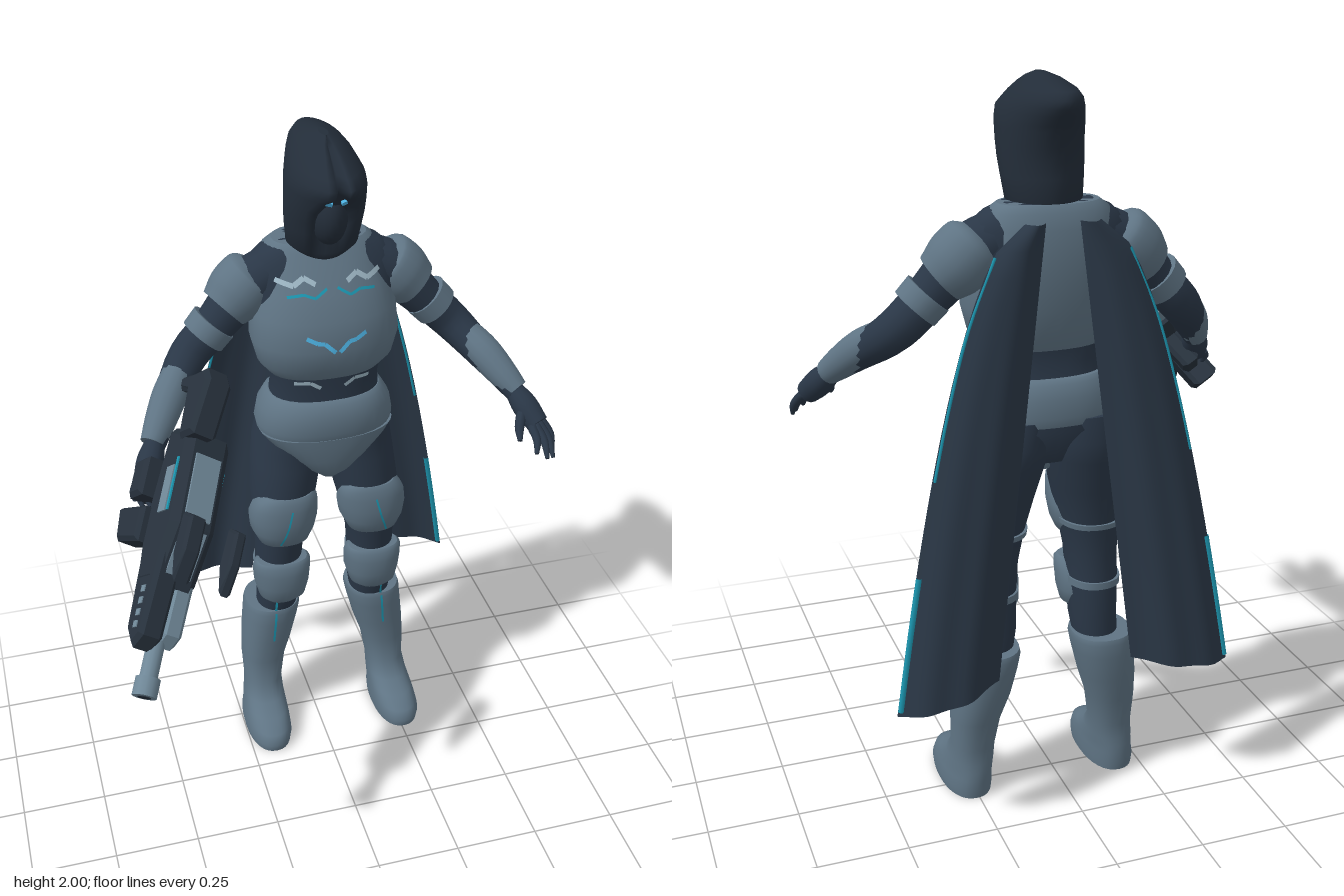
import * as THREE from 'three';

const mat = (name, color, side = THREE.FrontSide) => Object.assign(new THREE.MeshStandardMaterial({ color, side }), { name });
const V = (x, y, z) => new THREE.Vector3(x, y, z);

export function createModel() {
  const armour = mat('armour', 0x5f7484);
  const suit = mat('undersuit', 0x2a3747);
  const hoodMat = mat('hood cloth', 0x232d39);
  const capeMat = mat('cape cloth', 0x2b3847, THREE.DoubleSide);
  const gunDark = mat('gun dark', 0x27313c);
  const gunLight = mat('gun light', 0x6f8797);
  const pale = mat('pale marking', 0x9db6c4, THREE.DoubleSide);
  const teal = mat('teal glow', 0x1c96b0, THREE.DoubleSide);
  const bright = mat('bright glow', 0x4db2e2, THREE.DoubleSide);

  const model = new THREE.Group();
  model.name = 'hoodedFigure';
  const body = new THREE.Group();
  body.name = 'body';
  body.position.x = 0.04;
  model.add(body);

  const add = (parent, name, geo, material, pos = [0, 0, 0]) => {
    const mesh = new THREE.Mesh(geo, material);
    mesh.name = name;
    mesh.position.set(...pos);
    parent.add(mesh);
    return mesh;
  };
  const build = (pos, idx) => {
    const g = new THREE.BufferGeometry();
    g.setAttribute('position', new THREE.Float32BufferAttribute(pos, 3));
    g.setIndex(idx);
    g.computeVertexNormals();
    return g;
  };

  // Closed skin over rings of points, with flat end caps
  const skin = (rings) => {
    const n = rings[0].length, pos = [], idx = [];
    rings.forEach((r) => r.forEach((p) => pos.push(p.x, p.y, p.z)));
    for (let i = 0; i < rings.length - 1; i++) for (let j = 0; j < n; j++) {
      const a = i * n + j, b = i * n + (j + 1) % n;
      idx.push(a, b, b + n, a, b + n, a + n);
    }
    [rings[0], rings[rings.length - 1]].forEach((r, end) => {
      const s = pos.length / 3, c = r.reduce((q, p) => q.add(p), V(0, 0, 0)).divideScalar(n);
      [...r, c].forEach((p) => pos.push(p.x, p.y, p.z));
      for (let j = 0; j < n; j++) {
        const k = (j + 1) % n;
        end ? idx.push(s + j, s + k, s + n) : idx.push(s + k, s + j, s + n);
      }
    });
    return build(pos, idx);
  };

  // Horizontal rings, bottom to top: [y, centre x, half width, front z, back z]
  const loft = (rows, m = 1, e = 2.3, rule = null) => skin(rows.map(([y, cx, rx, zf, zb]) =>
    Array.from({ length: 32 }, (_, j) => {
      const a = j / 32 * Math.PI * 2, s = Math.sin(a), c = Math.cos(a);
      const p = V(cx * m + rx * Math.sign(s) * Math.abs(s) ** (2 / e), y,
        (zf + zb) / 2 + (zf - zb) / 2 * Math.sign(c) * Math.abs(c) ** (2 / e));
      if (rule) rule(p);
      return p;
    })));

  // Round limb along points [x, y, z, radius]
  const limb = (pts, m = 1, seg = 14) => {
    const path = new THREE.CatmullRomCurve3(pts.map((p) => V(p[0] * m, p[1], p[2])));
    const rad = new THREE.CatmullRomCurve3(pts.map((p, i) => V(p[3], i, 0)));
    const n = (pts.length - 1) * 4;
    return skin(Array.from({ length: n + 1 }, (_, i) => {
      const t = path.getTangent(i / n), c = path.getPoint(i / n), r = rad.getPoint(i / n).x;
      const u = V(0, 0, 1).addScaledVector(t, -t.z).normalize(), w = t.clone().cross(u);
      return Array.from({ length: seg }, (_, j) => {
        const a = j / seg * Math.PI * 2;
        return c.clone().addScaledVector(u, r * Math.cos(a)).addScaledVector(w, r * Math.sin(a));
      });
    }));
  };

  // Thin painted stripe laid on the front of a loft
  const stripe = (parent, name, rows, pts, width, material, m = 1, e = 2.3) => {
    const frontZ = (x, y) => {
      let i = 0;
      while (i < rows.length - 2 && rows[i + 1][0] < y) i++;
      const k = THREE.MathUtils.clamp((y - rows[i][0]) / (rows[i + 1][0] - rows[i][0]), 0, 1);
      const [, cx, rx, zf, zb] = rows[i].map((v, q) => v + (rows[i + 1][q] - v) * k);
      const d = Math.min(Math.abs((x - cx) / rx), 1);
      return (zf + zb) / 2 + (zf - zb) / 2 * (1 - d ** e) ** (1 / e) + 0.005;
    };
    const pos = [], idx = [], step = 5;
    for (let i = 0; i < pts.length - 1; i++) {
      const [x0, y0] = pts[i], [x1, y1] = pts[i + 1], l = Math.hypot(x1 - x0, y1 - y0);
      const nx = -(y1 - y0) / l * width / 2, ny = (x1 - x0) / l * width / 2;
      for (let k = 0; k <= step; k++) {
        const x = x0 + (x1 - x0) * k / step, y = y0 + (y1 - y0) * k / step;
        for (const s of [-1, 1]) pos.push((x + s * nx) * m, y + s * ny, frontZ(x + s * nx, y + s * ny));
        const b = pos.length / 3 - 2;
        const q = m > 0 ? [b - 2, b, b + 1, b - 2, b + 1, b - 1] : [b - 2, b + 1, b, b - 2, b - 1, b + 1];
        if (k) idx.push(...q);
      }
    }
    add(parent, name, build(pos, idx), material);
  };

  // Torso
  const torso = [[1.0, 0, 0.12, -0.17, -0.36], [1.1, 0, 0.19, -0.15, -0.415], [1.2, 0, 0.165, -0.15, -0.375],
    [1.27, 0, 0.158, -0.16, -0.355], [1.34, 0, 0.17, -0.15, -0.36], [1.45, 0, 0.19, -0.15, -0.38],
    [1.57, 0, 0.225, -0.18, -0.395], [1.63, 0, 0.215, -0.205, -0.385], [1.67, 0, 0.17, -0.22, -0.375], [1.69, 0, 0.12, -0.23, -0.37]];
  const chest = [[1.31, 0, 0.165, -0.15, -0.365], [1.35, 0, 0.196, -0.12, -0.382], [1.42, 0, 0.214, -0.105, -0.4],
    [1.5, 0, 0.208, -0.122, -0.41], [1.57, 0, 0.19, -0.155, -0.412], [1.63, 0, 0.172, -0.192, -0.405],
    [1.67, 0, 0.162, -0.215, -0.395], [1.69, 0, 0.135, -0.23, -0.38]];
  add(body, 'undersuitTorso', loft(torso), suit);
  add(body, 'chestPlate', loft(chest), armour);
  add(body, 'belt', loft([[1.115, 0, 0.2, -0.125, -0.41], [1.14, 0, 0.205, -0.118, -0.415],
    [1.19, 0, 0.196, -0.118, -0.41], [1.225, 0, 0.176, -0.135, -0.395], [1.235, 0, 0.165, -0.15, -0.38]]), armour);
  add(body, 'hipPlate', loft([[0.955, 0, 0.03, -0.18, -0.29], [0.99, 0, 0.07, -0.145, -0.3],
    [1.04, 0, 0.125, -0.13, -0.31], [1.09, 0, 0.175, -0.124, -0.33], [1.12, 0, 0.2, -0.122, -0.36]]), armour);

  // Hood with a shallow face opening under the brow
  add(body, 'hood', loft([[1.65, 0, 0.07, -0.21, -0.355], [1.69, 0, 0.1, -0.165, -0.376], [1.75, 0, 0.107, -0.14, -0.374],
    [1.79, 0, 0.11, -0.118, -0.376], [1.83, 0, 0.11, -0.093, -0.386], [1.87, 0, 0.108, -0.066, -0.405], [1.885, 0, 0.106, -0.055, -0.415],
    [1.91, 0, 0.1, -0.043, -0.435], [1.93, 0, 0.09, -0.07, -0.45], [1.95, 0, 0.079, -0.1, -0.457], [1.97, 0, 0.062, -0.135, -0.44],
    [1.988, 0, 0.04, -0.18, -0.35], [2.0, 0, 0.012, -0.22, -0.28]], 1, 1.9, (p) => {
    const open = 0.06 * Math.sin(Math.PI * THREE.MathUtils.clamp((p.y - 1.7) / 0.19, 0, 1)) ** 0.5;
    if (p.z > -0.2 && Math.abs(p.x) < open) p.z -= 0.055 * (1 - (p.x / open) ** 4);
  }), hoodMat);
  add(body, 'faceMask', new THREE.SphereGeometry(1, 24, 16), hoodMat, [0, 1.79, -0.215]).scale.set(0.055, 0.09, 0.085);

  for (const m of [1, -1]) {
    const side = m > 0 ? 'left' : 'right';
    const eye = add(body, side + 'Eye', new THREE.BoxGeometry(0.028, 0.011, 0.009), bright, [0.026 * m, 1.855, -0.118]);
    eye.rotation.set(0.4, 0.2 * m, 0.2 * m);
    const dash = add(body, side + 'HoodMarking', new THREE.BoxGeometry(0.022, 0.007, 0.009), pale, [0.066 * m, 1.866, -0.128]);
    dash.rotation.set(0, 0.95 * m, -0.2 * m);

    // Chest and waist markings
    stripe(body, 'collarMarking', chest, [[0.045, 1.6], [0.075, 1.617], [0.105, 1.597], [0.155, 1.61]], 0.013, pale, m);
    stripe(body, 'collarGlow', chest, [[0.015, 1.588], [0.05, 1.567], [0.08, 1.577], [0.125, 1.57]], 0.007, teal, m);
    stripe(body, 'chestGlow', chest, [[0.006, 1.42], [0.035, 1.447], [0.055, 1.45], [0.085, 1.465]], 0.012, bright, m);
    stripe(body, 'waistMarking', torso, [[0.035, 1.28], [0.065, 1.3], [0.11, 1.298]], 0.012, pale, m);

    // Leg
    const leg = new THREE.Group();
    leg.name = side + 'Leg';
    body.add(leg);
    const legRows = [[0.4, 0.16, 0.06, -0.22, -0.35], [0.5, 0.15, 0.066, -0.195, -0.355],
      [0.6, 0.15, 0.07, -0.18, -0.35], [0.7, 0.146, 0.073, -0.17, -0.348], [0.8, 0.138, 0.085, -0.155, -0.36],
      [0.9, 0.128, 0.1, -0.148, -0.382], [1.0, 0.112, 0.106, -0.16, -0.412], [1.06, 0.104, 0.105, -0.16, -0.422],
      [1.13, 0.095, 0.1, -0.16, -0.41]];
    add(leg, 'legSuit', loft(legRows, m, 2.1), suit);
    const knee = [[0.728, 0.14, 0.052, -0.175, -0.26], [0.745, 0.141, 0.078, -0.15, -0.285], [0.785, 0.141, 0.098, -0.135, -0.325],
      [0.83, 0.139, 0.104, -0.13, -0.315], [0.87, 0.136, 0.1, -0.133, -0.285], [0.9, 0.131, 0.09, -0.138, -0.25], [0.915, 0.128, 0.07, -0.148, -0.23]];
    const shin = [[0.505, 0.15, 0.05, -0.18, -0.27], [0.525, 0.148, 0.073, -0.163, -0.29], [0.57, 0.147, 0.085, -0.152, -0.315],
      [0.62, 0.147, 0.089, -0.152, -0.3], [0.65, 0.147, 0.088, -0.158, -0.275], [0.66, 0.147, 0.078, -0.168, -0.26]];
    add(leg, 'kneeGuard', loft(knee, m), armour);
    add(leg, 'shinGuard', loft(shin, m), armour);
    add(leg, 'thighStrap', loft([[0.785, 0.14, 0.09, -0.15, -0.364], [0.8, 0.139, 0.091, -0.15, -0.366]], m), armour);
    add(leg, 'calfStrap', loft([[0.6, 0.15, 0.075, -0.17, -0.355], [0.62, 0.15, 0.075, -0.17, -0.355]], m), armour);
    const boot = [[0, 0.218, 0.07, -0.05, -0.342], [0.025, 0.218, 0.073, -0.045, -0.345], [0.055, 0.216, 0.069, -0.06, -0.346],
      [0.08, 0.214, 0.066, -0.11, -0.345], [0.105, 0.212, 0.063, -0.165, -0.343], [0.15, 0.209, 0.06, -0.208, -0.342],
      [0.24, 0.203, 0.069, -0.212, -0.358], [0.32, 0.188, 0.08, -0.206, -0.38], [0.4, 0.174, 0.086, -0.2, -0.39],
      [0.44, 0.168, 0.088, -0.198, -0.392], [0.455, 0.167, 0.084, -0.203, -0.387]];
    add(leg, 'boot', loft(boot, m), armour);
    stripe(leg, 'kneeGlow', knee, [[0.13, 0.88], [0.145, 0.82], [0.167, 0.755]], 0.006, teal, m);
    stripe(leg, 'shinGlow', legRows, [[0.171, 0.505], [0.173, 0.455]], 0.007, teal, m, 2.1);
    stripe(leg, 'bootGlow', boot, [[0.174, 0.45], [0.183, 0.335]], 0.007, teal, m);

    // Arm and shoulder armour
    const arm = new THREE.Group();
    arm.name = side + 'Arm';
    body.add(arm);
    add(arm, 'armSuit', limb([[0.13, 1.6, -0.295, 0.075], [0.21, 1.56, -0.29, 0.075], [0.305, 1.465, -0.28, 0.06],
      [0.39, 1.38, -0.27, 0.056], [0.47, 1.295, -0.17, 0.045], [0.53, 1.22, -0.08, 0.03]], m), suit);
    add(arm, 'shoulderPad', limb([[0.18, 1.6, -0.3, 0.06], [0.197, 1.585, -0.3, 0.085], [0.24, 1.542, -0.295, 0.088],
      [0.28, 1.505, -0.285, 0.072]], m, 20), armour);
    add(arm, 'upperArmBand', limb([[0.31, 1.468, -0.28, 0.068], [0.345, 1.43, -0.276, 0.066]], m, 18), armour);
    add(arm, 'forearmGuard', limb([[0.425, 1.35, -0.235, 0.046], [0.465, 1.31, -0.18, 0.05], [0.505, 1.262, -0.125, 0.044],
      [0.535, 1.225, -0.085, 0.035]], m), armour);
    // Hand; the gun hand has curled, shorter fingers
    const curl = m > 0 ? 1 : 0.6;
    add(arm, 'palm', limb([[0.525, 1.23, -0.09, 0.027], [0.55, 1.19, -0.05, 0.038], [0.575, 1.15, -0.005, 0.033]], m), suit);
    [[0.615, 1.08, 0.03], [0.6, 1.075, 0.07], [0.575, 1.085, 0.085], [0.545, 1.1, 0.075]].forEach(([x, y, z], i) => {
      const b = [0.592 - i * 0.013, 1.15, -0.02 + i * 0.008], k = [x - b[0], y - b[1], z - b[2]];
      add(arm, 'finger', limb([[...b, 0.014], [b[0] + k[0] * 0.55 * curl + 0.008, b[1] + k[1] * 0.5 * curl, b[2] + k[2] * 0.55 * curl, 0.012],
        [b[0] + k[0] * curl, b[1] + k[1] * curl, b[2] + k[2] * curl, 0.006]], m, 8), suit);
    });
    add(arm, 'thumb', limb([[0.54, 1.19, -0.04, 0.015], [0.515, 1.155, 0.005, 0.014], [0.505, 1.13, 0.04, 0.007]], m, 8), suit);

    // Cape panel, narrow at the shoulder and flared at the hem
    const capePoint = (u, v) => {
      const inner = 0.045 + 0.145 * v, outer = 0.1 + 0.375 * v ** 0.54;
      return V((inner + (outer - inner) * u) * m, 1.655 - (1.215 + 0.045 * u) * v,
        -0.415 - 0.05 * v - 0.02 * u * v - (0.025 + 0.03 * v) * Math.sin(Math.PI * u) + 0.006 * v * Math.sin(u * 14));
    };
    const cape = new THREE.PlaneGeometry(1, 1, 16, 20), cp = cape.attributes.position;
    for (let i = 0; i < cp.count; i++) cp.setXYZ(i, ...capePoint(cp.getX(i) + 0.5, 0.5 - cp.getY(i)));
    cape.computeVertexNormals();
    add(body, side + 'CapePanel', cape, capeMat);
    for (const [a, b, r] of [[0.06, 0.5, 0.004], [0.7, 0.99, 0.008]]) {
      const edge = new THREE.CatmullRomCurve3([0, 0.33, 0.67, 1].map((k) => capePoint(0.975, a + (b - a) * k)));
      add(body, side + 'CapeTrim', new THREE.TubeGeometry(edge, 16, r, 6), teal);
    }
  }

  // Rifle: local z runs to the muzzle, y is its top
  const gun = new THREE.Group();
  gun.name = 'rifle';
  const f = V(-0.38, -0.57, 0.72).normalize(), s = V(0.4, 0.62, 0.65).cross(f).normalize();
  gun.quaternion.setFromRotationMatrix(new THREE.Matrix4().makeBasis(s, f.clone().cross(s), f));
  gun.position.set(-0.46, 1.14, 0.14);
  model.add(gun);
  // Bevelled plate from a side profile of [z, y] points
  const plate = (name, pts, width, material, x = 0, bevel = 0.012) => {
    const g = new THREE.ExtrudeGeometry(new THREE.Shape(pts.map((p) => new THREE.Vector2(...p))),
      { depth: width - 2 * bevel, bevelSize: bevel, bevelThickness: bevel, bevelOffset: -bevel, bevelSegments: 1 });
    g.translate(0, 0, bevel - width / 2).rotateY(-Math.PI / 2);
    add(gun, name, g, material, [x, 0, 0]);
  };
  const block = (name, size, material, pos) => add(gun, name, new THREE.BoxGeometry(...size), material, pos);
  plate('receiver', [[-0.24, -0.05], [0.05, -0.085], [0.22, -0.05], [0.22, 0.045], [0.06, 0.095], [-0.2, 0.08]], 0.135, gunDark, 0, 0.022);
  plate('handguard', [[0.12, -0.06], [0.34, -0.045], [0.39, 0], [0.36, 0.045], [0.12, 0.065]], 0.07, gunDark, -0.03);
  plate('lightHandguard', [[0.12, -0.075], [0.33, -0.055], [0.37, 0], [0.34, 0.038], [0.12, 0.05]], 0.06, gunLight, 0.032);
  plate('stock', [[-0.37, 0.02], [-0.18, 0.035], [-0.18, 0.11], [-0.33, 0.14], [-0.37, 0.11]], 0.08, gunDark, -0.04);
  plate('stockButt', [[-0.38, -0.03], [-0.34, -0.03], [-0.31, 0.06], [-0.37, 0.06]], 0.075, gunDark, -0.04);
  plate('stockCore', [[-0.3, -0.03], [-0.2, -0.04], [-0.2, 0.04], [-0.3, 0.04]], 0.05, gunLight, -0.02);
  plate('grip', [[-0.17, -0.17], [-0.1, -0.17], [-0.07, -0.04], [-0.14, -0.04]], 0.055, gunDark, -0.025);
  plate('magazine', [[-0.02, -0.2], [0.08, -0.18], [0.1, -0.05], [0, -0.05]], 0.08, gunDark, -0.055);
  plate('sideBox', [[-0.14, -0.13], [-0.03, -0.13], [-0.03, -0.06], [-0.14, -0.06]], 0.1, gunDark, -0.06);
  block('topPanel', [0.075, 0.009, 0.18], gunLight, [0, 0.091, -0.05]).rotation.x = -0.06;
  block('slopePanel', [0.075, 0.009, 0.13], gunLight, [0, 0.073, 0.13]).rotation.x = 0.3;
  block('topSlot', [0.028, 0.009, 0.05], gunDark, [-0.01, 0.077, 0.13]).rotation.x = 0.3;
  for (const x of [-0.069, 0.069]) {
    block('sidePanel', [0.006, 0.04, 0.13], gunLight, [x, 0.02, -0.04]);
    block('sideGlow', [0.006, 0.008, 0.15], teal, [x, 0.052, -0.05]);
  }
  for (let i = 0; i < 4; i++) block('vent', [0.008, 0.02, 0.018], gunLight, [-0.064, 0.01, 0.235 + i * 0.032]);
  const tube = (name, r, z, len, material) => add(gun, name, new THREE.CylinderGeometry(r, r, len, 12).rotateX(Math.PI / 2), material, [0.01, -0.005, z]);
  tube('barrel', 0.024, 0.41, 0.12, gunLight);
  tube('muzzle', 0.033, 0.478, 0.05, gunLight);
  tube('muzzleBore', 0.018, 0.501, 0.008, gunDark);
  // Floating fins
  const fin = (y, z) => [[z - 0.09, y - 0.02], [z + 0.02, y - 0.03], [z + 0.1, y], [z + 0.02, y + 0.028], [z - 0.07, y + 0.03]];
  plate('topFin', fin(0.18, 0.14), 0.05, gunDark, -0.05, 0.008);
  plate('leftFin', fin(0.12, 0.12), 0.035, gunDark, 0.11, 0.008);
  return model;
}
